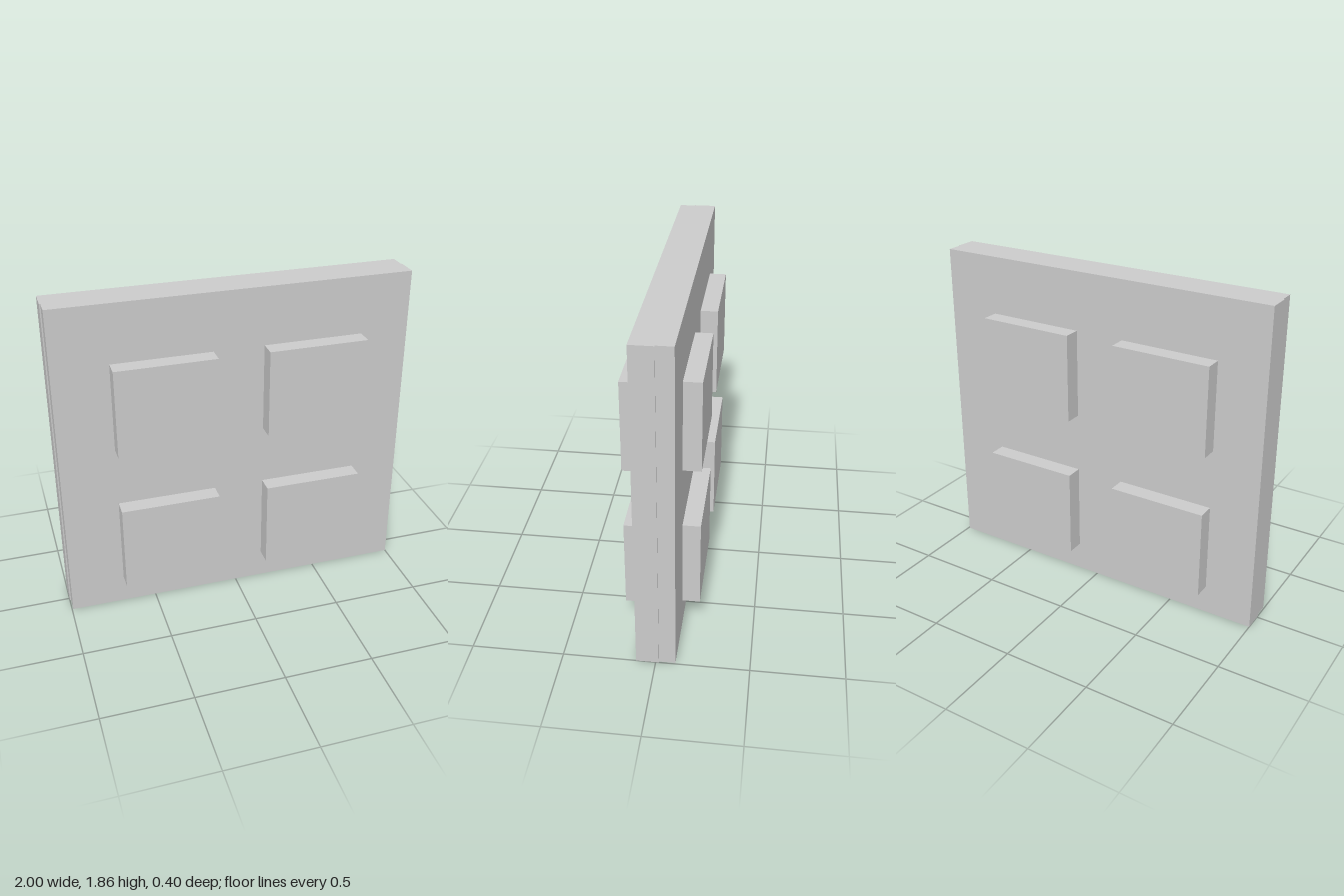
import * as THREE from 'three';

const material = new THREE.MeshStandardMaterial({ color: 0xcccccc, flatShading: true });

// Box given by its lower and upper corners
function block(name, [x0, y0, z0], [x1, y1, z1]) {
  const mesh = new THREE.Mesh(new THREE.BoxGeometry(x1 - x0, y1 - y0, z1 - z0), material);
  mesh.position.set((x0 + x1) / 2, (y0 + y1) / 2, (z0 + z1) / 2);
  mesh.name = name;
  return mesh;
}

// One face of the panel: a slab with four raised square pads
function createHalf(name) {
  const half = new THREE.Group();
  half.name = name;
  half.add(block('slab', [-0.993, 0, -0.017], [1, 1.86, 0.105]));
  for (const [x0, x1] of [[-0.685, -0.125], [0.16, 0.723]]) {
    for (const [y0, y1] of [[0.167, 0.677], [1.02, 1.527]]) {
      half.add(block('raisedPad', [x0, y0, 0.1], [x1, y1, 0.202]));
    }
  }
  return half;
}

export function createModel() {
  const model = new THREE.Group();
  model.name = 'panel';
  // Two equal halves back to back, slightly offset sideways
  const back = createHalf('backHalf');
  back.rotation.y = Math.PI;
  model.add(createHalf('frontHalf'), back);
  return model;
}
